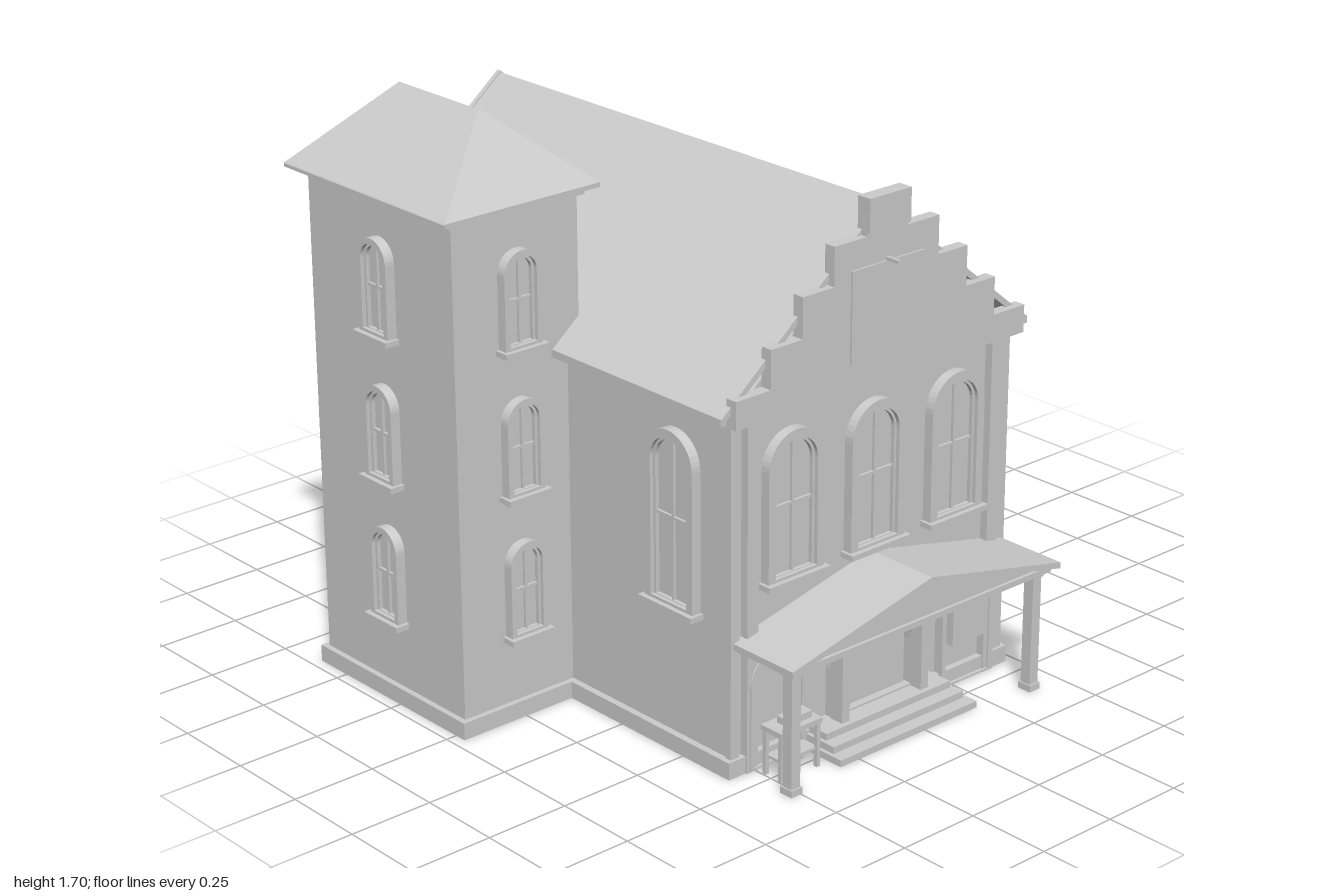
import * as THREE from 'three';

const plaster = new THREE.MeshStandardMaterial({ color: 0xcccccc });
plaster.name = 'plaster';

export function createModel() {
  const model = new THREE.Group();
  model.name = 'building';

  function add(name, geometry, parent = model) {
    const mesh = new THREE.Mesh(geometry, plaster);
    mesh.name = name;
    parent.add(mesh);
    return mesh;
  }
  // Box given by its limits on each axis
  function box(name, x0, x1, y0, y1, z0, z1, parent = model) {
    const g = new THREE.BoxGeometry(x1 - x0, y1 - y0, z1 - z0);
    g.translate((x0 + x1) / 2, (y0 + y1) / 2, (z0 + z1) / 2);
    return add(name, g, parent);
  }
  function extrude(shape, z0, z1) {
    const g = new THREE.ExtrudeGeometry(shape, { depth: z1 - z0, bevelEnabled: false, curveSegments: 10 });
    return g.translate(0, 0, z0);
  }
  const poly = (pts) => new THREE.Shape(pts.map(([x, y]) => new THREE.Vector2(x, y)));
  // Roof slabs: an upside-down V around x = 0
  const chevron = (half, eave, ridge, t) => poly([
    [-half, eave - t], [0, ridge - t], [half, eave - t], [half, eave], [0, ridge], [-half, eave]]);
  // Wall outline with a gable on top
  const gableWall = (half, base, eave, ridge) => poly([
    [-half, base], [half, base], [half, eave], [0, ridge], [-half, eave]]);

  function archPath(target, w, y0, y1) {
    const r = w / 2;
    target.moveTo(-r, y0);
    target.lineTo(r, y0);
    target.lineTo(r, y1 - r);
    target.absarc(0, y1 - r, r, 0, Math.PI, false);
    target.lineTo(-r, y0);
    return target;
  }
  // Arched ring; open at the foot when the hole starts just above it
  function archRing(w, h, rim, foot) {
    const s = archPath(new THREE.Shape(), w, 0, h);
    s.holes.push(archPath(new THREE.Path(), w - 2 * rim, foot, h - rim));
    return s;
  }
  // Arched window facing +z, standing on its sill
  function archWindow(name, x, y, z, turn, w, h) {
    const g = new THREE.Group();
    g.name = name;
    const s = 0.016, rim = w * 0.13, inner = w / 2 - rim;
    box('sill', -w / 2 - 0.01, w / 2 + 0.01, 0, s, -0.005, 0.045, g);
    const frame = add('archFrame', extrude(archRing(w, h - s, rim, 0.008), -0.005, 0.03), g);
    frame.position.y = s;
    const sash = add('sash', extrude(archRing(w - 2 * rim, h - s - rim, 0.008, 0.01), -0.005, 0.018), g);
    sash.position.y = s;
    const pane = add('pane', extrude(archPath(new THREE.Shape(), w - 2 * rim, 0, h - s - rim), 0, 0.006), g);
    pane.position.y = s;
    box('mullion', -0.004, 0.004, s, h - rim - 0.005, 0, 0.014, g);
    box('crossbar', -inner, inner, h * 0.5, h * 0.5 + 0.008, 0, 0.014, g);
    g.position.set(x, y, z);
    g.rotation.y = turn;
    model.add(g);
  }

  const CX = -0.06;

  // Main hall
  add('hallWalls', extrude(gableWall(0.51, 0, 1.01, 1.445), -0.85, 0.665)).position.x = CX;
  box('hallPlinth', -0.59, 0.47, 0, 0.05, -0.87, 0.685);
  box('hallCornice', -0.59, 0.47, 1.0, 1.022, -0.87, 0.69);
  add('hallRoof', extrude(chevron(0.56, 1.04, 1.497, 0.022), -0.895, 0.69)).position.x = CX;
  add('hallRakeTrim', extrude(chevron(0.563, 1.042, 1.502, 0.04), -0.9, -0.885)).position.x = CX;
  for (const s of [-1, 1]) {
    const e = CX + s * 0.555, p = CX + s * 0.45;
    box('hallGutter', e - 0.01, e + 0.01, 1.018, 1.04, -0.9, 0.69);
    box('frontPilaster', p - 0.02, p + 0.02, 0, 1.005, 0.66, 0.69);
    box('cornerBoard', CX + s * 0.5 - 0.015, CX + s * 0.5 + 0.015, 0, 1.005, 0.655, 0.675);
  }

  // Stepped front parapet: half width, bottom, top
  const steps = [[0.53, 1.005, 1.085], [0.41, 1.085, 1.195], [0.30, 1.195, 1.31], [0.19, 1.31, 1.42], [0.075, 1.42, 1.525]];
  const outline = [];
  for (const [w, a, b] of steps) outline.push([w, a], [w, b]);
  const mirrored = outline.map(([x, y]) => [-x, y]).reverse();
  add('steppedParapet', extrude(poly([...outline, ...mirrored]), 0.675, 0.71)).position.x = CX;
  box('parapetCap', CX - 0.075, CX + 0.075, 1.43, 1.525, 0.675, 0.72);
  box('signBoard', -0.19, 0.07, 1.08, 1.34, 0.705, 0.716);
  box('signLamp', CX - 0.005, CX + 0.005, 1.34, 1.35, 0.705, 0.755);

  // Side annex, ridge running along x
  const AZ = -0.535;
  const turned = (name, shape, x0, x1) => {
    add(name, extrude(shape, x0, x1).rotateY(Math.PI / 2)).position.z = AZ - 0.005;
  };
  turned('annexWalls', gableWall(0.312, 0, 0.64, 0.885), 0.3, 0.95);
  box('annexPlinth', 0.4, 0.965, 0, 0.045, -0.87, -0.21);
  box('annexCornice', 0.3, 0.965, 0.63, 0.65, -0.868, -0.212);
  turned('annexRoof', chevron(0.355, 0.662, 0.92, 0.02), 0.25, 0.985);
  turned('annexRakeTrim', chevron(0.357, 0.664, 0.923, 0.03), 0.975, 0.99);
  for (const z of [-0.89, -0.195]) box('annexGutter', 0.25, 0.99, 0.643, 0.66, z - 0.008, z + 0.008);

  // Tower with hipped roof
  box('towerWalls', -0.95, -0.53, 0, 1.46, -0.6, 0.02);
  box('towerPlinth', -0.967, -0.52, 0, 0.05, -0.617, 0.037);
  box('towerCornice', -0.965, -0.515, 1.455, 1.477, -0.615, 0.035);
  box('towerEave', -0.998, -0.482, 1.473, 1.486, -0.64, 0.06);
  const a = [-1, 1.484, 0.06], b = [-0.48, 1.484, 0.06], c = [-0.48, 1.484, -0.64], d = [-1, 1.484, -0.64];
  const f = [-0.74, 1.698, -0.12], k = [-0.74, 1.698, -0.46];
  const hip = new THREE.BufferGeometry();
  hip.setAttribute('position', new THREE.Float32BufferAttribute(
    [a, b, f, b, c, k, b, k, f, c, d, k, d, a, f, d, f, k].flat(), 3));
  hip.computeVertexNormals();
  add('towerRoof', hip);

  // Windows
  for (const x of [-0.36, CX, 0.24]) archWindow('frontWindow', x, 0.513, 0.665, 0, 0.2, 0.432);
  for (const z of [0.457, 0.055]) archWindow('hallSideWindow', 0.45, 0.42, z, Math.PI / 2, 0.19, 0.515);
  archWindow('hallSideWindow', -0.57, 0.42, 0.457, -Math.PI / 2, 0.19, 0.515);
  archWindow('annexWindow', 0.95, 0.187, -0.53, Math.PI / 2, 0.16, 0.363);
  for (const y of [0.237, 0.65, 1.068]) {
    archWindow('towerFrontWindow', -0.74, y, 0.02, 0, 0.125, 0.287);
    archWindow('towerSideWindow', -0.95, y, -0.29, -Math.PI / 2, 0.125, 0.287);
  }

  // Porch
  add('porchRoof', extrude(chevron(0.505, 0.388, 0.5, 0.018), 0.66, 0.9)).position.x = CX;
  add('porchPediment', extrude(poly([[-0.47, 0.37], [0.47, 0.37], [0.47, 0.38], [0, 0.484], [-0.47, 0.38]]), 0.66, 0.87)).position.x = CX;
  box('porchBeam', -0.55, 0.43, 0.358, 0.375, 0.66, 0.88);
  for (const s of [-1, 1]) {
    const x = CX + s * 0.455;
    box('porchPost', x - 0.016, x + 0.016, 0, 0.36, 0.828, 0.862);
    box('postBase', x - 0.02, x + 0.02, 0, 0.02, 0.823, 0.867);
    box('postCapital', x - 0.02, x + 0.02, 0.345, 0.36, 0.823, 0.867);
  }

  // Entrance steps
  for (let i = 0; i < 3; i++) {
    box('entranceStep', -0.32 + i * 0.012, 0.2 - i * 0.012, i * 0.02, (i + 1) * 0.02, 0.66, 0.83 - i * 0.04);
  }

  // Entrance door between two side arches
  const door = add('doorArch', extrude(archRing(0.32, 0.3, 0.022, 0.006), 0.66, 0.695));
  door.position.set(CX, 0.06, 0);
  box('doorLeaf', CX - 0.13, CX + 0.13, 0.065, 0.27, 0.66, 0.672);
  for (const s of [-1, 1]) {
    const x = CX + s * 0.15;
    box('doorColumn', x - 0.014, x + 0.014, 0.06, 0.27, 0.69, 0.735);
    box('columnCap', x - 0.018, x + 0.018, 0.265, 0.28, 0.685, 0.74);
    add('sideArch', extrude(archRing(0.2, 0.34, 0.015, 0.006), 0.66, 0.695)).position.set(CX + s * 0.36, 0.005, 0);
  }
  box('noticeBoard', 0.23, 0.37, 0.13, 0.275, 0.665, 0.705);

  // Small table on the porch
  const table = new THREE.Group();
  table.name = 'table';
  model.add(table);
  box('tableTop', -0.5, -0.35, 0.13, 0.145, 0.71, 0.79, table);
  for (const x of [-0.49, -0.36]) for (const z of [0.72, 0.78]) {
    box('tableLeg', x - 0.006, x + 0.006, 0, 0.13, z - 0.006, z + 0.006, table);
  }
  box('tableShelf', -0.49, -0.36, 0.05, 0.058, 0.72, 0.78, table);
  box('tray', -0.46, -0.37, 0.145, 0.165, 0.73, 0.77, table);

  return model;
}
